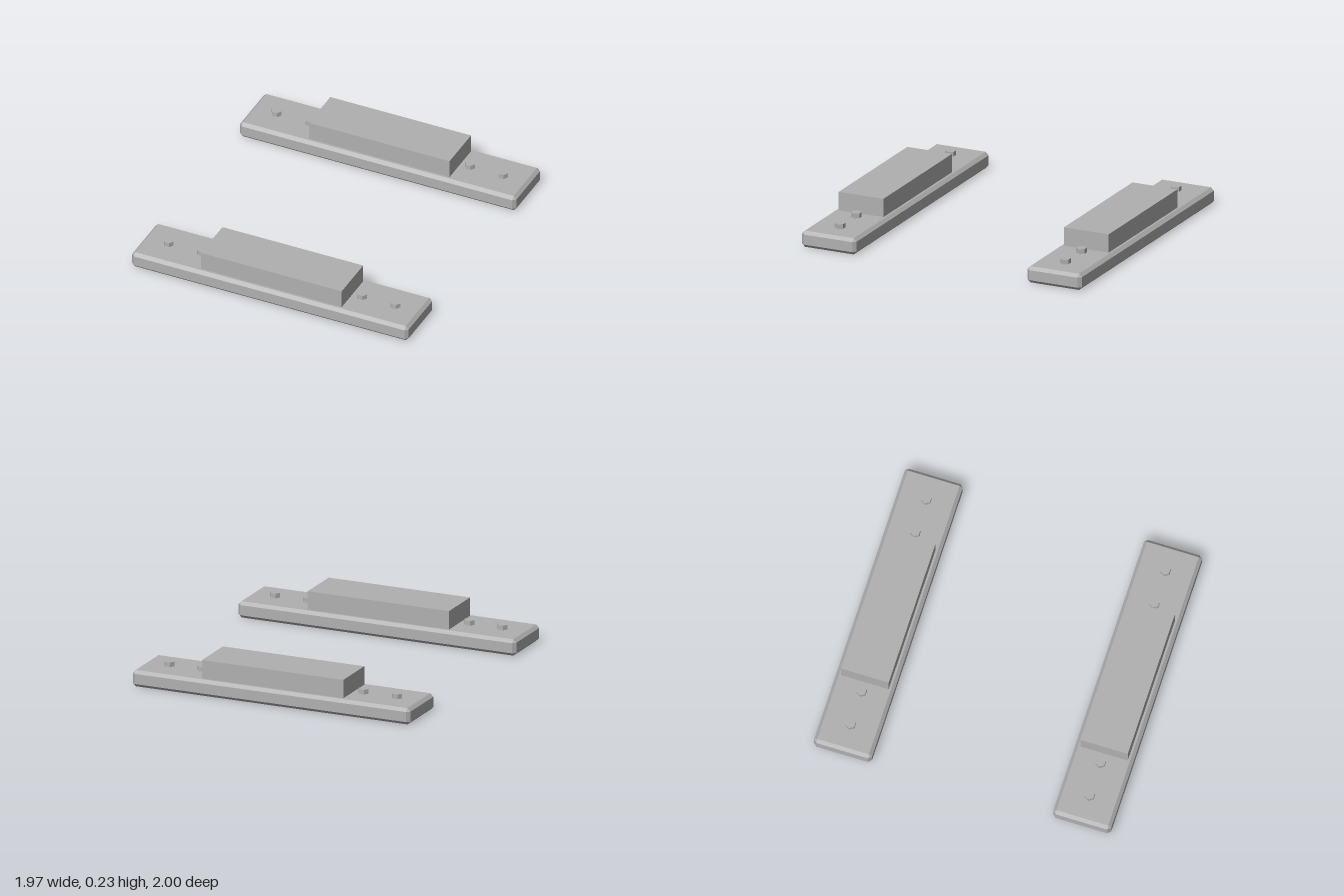
import * as THREE from 'three';
import { ConvexGeometry } from 'three/addons/geometries/ConvexGeometry.js';

const grey = new THREE.MeshStandardMaterial({ color: 0xb0b0b0 });
grey.name = 'grey metal';

// Box with every edge and corner chamfered
function chamferedBox(w, h, d, c) {
  const points = [];
  for (const sx of [-1, 1]) for (const sy of [-1, 1]) for (const sz of [-1, 1]) {
    const x = sx * w / 2, y = sy * h / 2, z = sz * d / 2;
    points.push(
      new THREE.Vector3(x, y - sy * c, z - sz * c),
      new THREE.Vector3(x - sx * c, y, z - sz * c),
      new THREE.Vector3(x - sx * c, y - sy * c, z));
  }
  return new ConvexGeometry(points);
}

function part(name, geometry, x, y, parent) {
  const mesh = new THREE.Mesh(geometry, grey);
  mesh.name = name;
  mesh.position.set(x, y, 0);
  parent.add(mesh);
}

export function createModel() {
  const model = new THREE.Group();
  model.name = 'mountingPlates';

  const plate = chamferedBox(1.965, 0.11, 0.39, 0.021);
  const block = new THREE.BoxGeometry(1, 0.125, 0.32);
  // Hexagonal bolt heads with corners pointing along x
  const bolt = new THREE.CylinderGeometry(0.035, 0.035, 0.032, 6).toNonIndexed();
  bolt.rotateY(Math.PI / 2);
  bolt.computeVertexNormals();

  // Matching front and back assemblies
  for (const side of [1, -1]) {
    const assembly = new THREE.Group();
    assembly.name = side > 0 ? 'frontAssembly' : 'backAssembly';
    assembly.position.z = side * 0.805;
    part('basePlate', plate, 0, 0.055, assembly);
    part('raisedBlock', block, 0, 0.1715, assembly);
    for (const x of [-0.805, -0.57, 0.57, 0.805]) part('hexBolt', bolt, x, 0.125, assembly);
    model.add(assembly);
  }
  return model;
}
